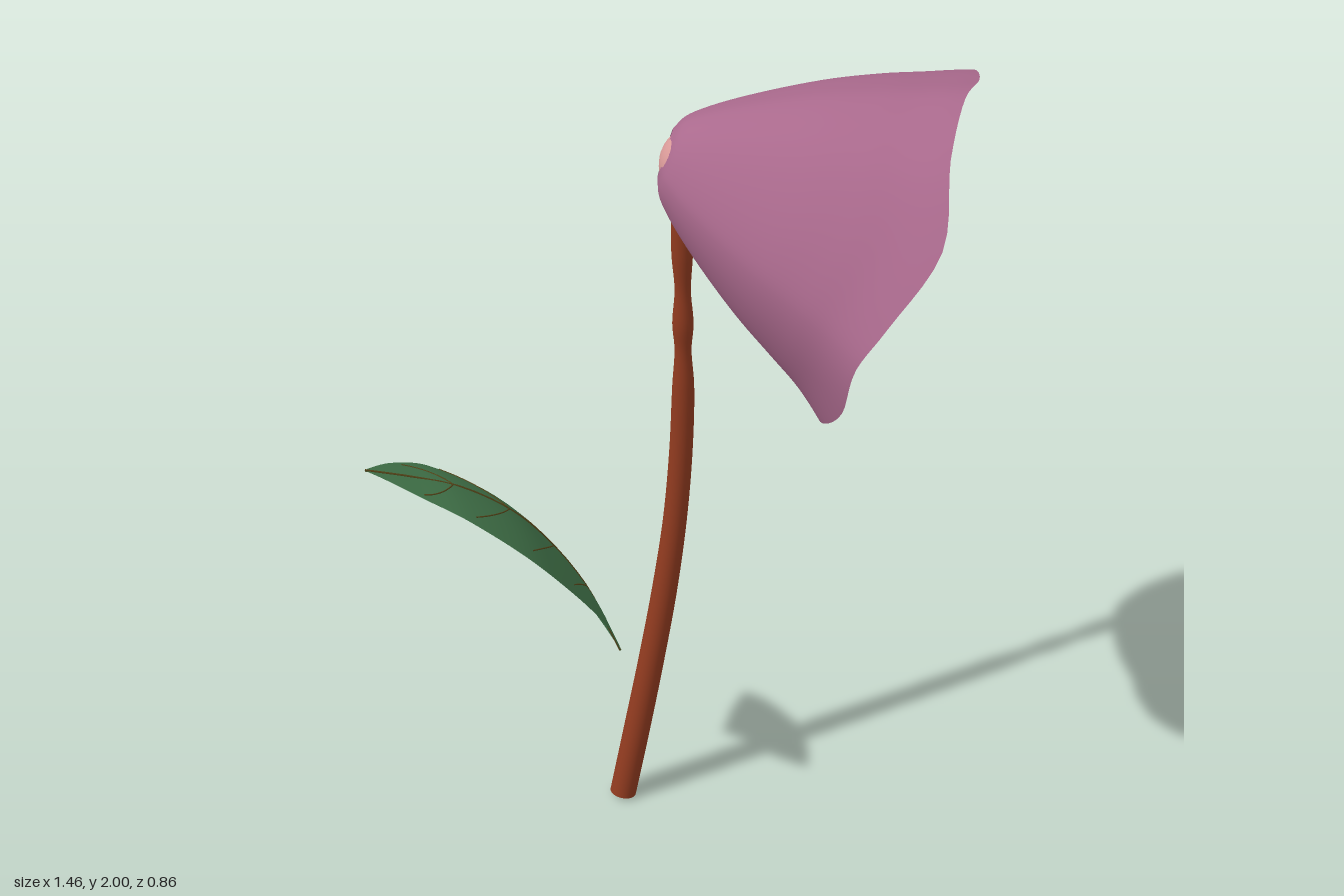
import * as THREE from 'three';

const mat = (name, color, side = THREE.FrontSide) => {
  const m = new THREE.MeshStandardMaterial({ color, side });
  m.name = name;
  return m;
};
const V = (x, y, z = 0) => new THREE.Vector3(x, y, z);
const curve = (pts, closed = false) =>
  new THREE.CatmullRomCurve3(pts.map(p => V(...p)), closed, 'centripetal');

// Smooth surface through rows of points; closed rows wrap around
function loft(rows, closed) {
  const n = rows[0].length, cols = closed ? n : n - 1, index = [];
  for (let i = 0; i < rows.length - 1; i++) {
    for (let j = 0; j < cols; j++) {
      const a = i * n + j, b = i * n + (j + 1) % n, c = a + n, d = b + n;
      index.push(a, b, c, b, d, c);
    }
  }
  const g = new THREE.BufferGeometry().setFromPoints(rows.flat());
  g.setIndex(index);
  g.computeVertexNormals();
  return g;
}

// Stem: each control point is x, y, radius
function stemGeometry() {
  const c = curve([
    [-0.127, 0.008, 0.033], [-0.085, 0.2, 0.033], [-0.043, 0.4, 0.032], [-0.005, 0.6, 0.031],
    [0.025, 0.8, 0.029], [0.043, 1.0, 0.028], [0.05, 1.18, 0.026], [0.05, 1.28, 0.02],
    [0.05, 1.35, 0.025], [0.05, 1.44, 0.019], [0.049, 1.54, 0.025], [0.05, 1.72, 0.025],
  ]);
  const ring = (t, k) => {
    const p = c.getPoint(t), d = c.getTangent(t).setZ(0).normalize();
    return Array.from({ length: 24 }, (_, j) => {
      const a = j / 24 * Math.PI * 2, r = p.z * k, u = Math.cos(a) * r;
      return V(p.x + d.y * u, p.y - d.x * u, -0.23 - Math.sin(a) * r);
    });
  };
  const rows = [ring(0, 0), ring(0, 1)];
  for (let i = 0; i <= 66; i++) rows.push(ring(i / 66, 1));
  rows.push(ring(1, 1), ring(1, 0));
  return loft(rows, true);
}

// Blossom: a blunt cone from a small open ring to a wavy rim
function blossomGeometry() {
  const apex = V(0.022, 1.795, -0.256), axis = V(0.8, -0.29, 0.53).normalize();
  const rim = curve([
    [0.54, 2.0, 0.17], [0.43, 1.935, 0.3], [0.35, 1.79, 0.415], [0.22, 1.63, 0.415],
    [0.165, 1.53, 0.385], [0.17, 1.38, 0.32], [0.21, 1.25, 0.15], [0.33, 1.2, -0.06],
    [0.43, 1.23, -0.16], [0.54, 1.38, -0.265], [0.7, 1.58, -0.3], [0.73, 1.69, -0.28],
    [0.708, 1.82, -0.2], [0.698, 1.89, -0.12], [0.685, 1.95, -0.03], [0.63, 1.985, 0.08],
  ], true);
  // Profile: share of depth, share of radius
  const profile = curve([
    [0, 0.13], [0.03, 0.215], [0.1, 0.305], [0.25, 0.45],
    [0.5, 0.655], [0.7, 0.79], [0.85, 0.885], [1, 1],
  ]);
  const rays = Array.from({ length: 80 }, (_, j) => {
    const d = rim.getPoint(j / 80).sub(apex), depth = d.dot(axis);
    const out = d.addScaledVector(axis, -depth), radius = out.length();
    return { depth, radius, out: out.normalize() };
  });
  const mix = THREE.MathUtils.lerp;
  const rows = profile.getPoints(44).map(p => rays.map(r => {
    const even = 0.3 * (1 - p.x ** 6); // rounder body below the rim
    return apex.clone()
      .addScaledVector(axis, p.x * mix(r.depth, 0.54, even))
      .addScaledVector(r.out, p.y * mix(r.radius, 0.435, even));
  }));
  return loft(rows, true);
}

// Leaf: each control point is x, y, half width along the midrib
const leafSpine = curve([
  [-0.125, 0.455, 0.004], [-0.16, 0.55, 0.07], [-0.2, 0.655, 0.122], [-0.28, 0.8, 0.16],
  [-0.385, 0.935, 0.168], [-0.52, 1.04, 0.135], [-0.63, 1.09, 0.08], [-0.73, 1.13, 0.002],
]);
function leafPoint(u, v) {
  const p = leafSpine.getPoint(u), d = leafSpine.getTangent(u).setZ(0).normalize();
  const w = v * p.z, drop = 1.4 * w * w;
  const z = -0.235 + 0.107 * (p.x + 0.125);
  return V(p.x - d.y * drop, p.y + d.x * drop, z + w);
}
function leafGeometry() {
  const rows = [];
  for (let i = 0; i <= 40; i++) {
    rows.push(Array.from({ length: 17 }, (_, j) => leafPoint(i / 40, j / 8 - 1)));
  }
  return loft(rows, false);
}
function veinGeometry(u0, u1, v1, r) {
  const pts = Array.from({ length: 9 }, (_, i) => {
    const s = i / 8;
    return leafPoint(u0 + (u1 - u0) * s * (0.7 + 0.3 * s), v1 * s);
  });
  return new THREE.TubeGeometry(new THREE.CatmullRomCurve3(pts), 20, r, 6);
}

export function createModel() {
  const petal = mat('mauve petal', 0xa9698c, THREE.DoubleSide);
  const bark = mat('russet stem', 0x8f3a1f);
  const green = mat('leaf green', 0x42744a, THREE.DoubleSide);
  const brown = mat('vein brown', 0x574619);
  const pink = mat('pale pink', 0xd99a98);

  const model = new THREE.Group();
  const add = (parent, name, geometry, material) => {
    const m = new THREE.Mesh(geometry, material);
    m.name = name;
    parent.add(m);
    return m;
  };

  add(model, 'stem', stemGeometry(), bark);
  add(model, 'blossom', blossomGeometry(), petal);

  // Round heart of the blossom, showing through its apex
  add(model, 'blossomHeart', new THREE.SphereGeometry(0.09, 32, 20), pink)
    .position.set(0.075, 1.776, -0.196);

  // Leaf with midrib and paired side veins
  const leaf = new THREE.Group();
  leaf.name = 'leaf';
  model.add(leaf);
  add(leaf, 'leafBlade', leafGeometry(), green);
  add(leaf, 'midrib', veinGeometry(0, 1, 0, 0.003), brown);
  for (const u of [0.3, 0.44, 0.58, 0.72]) {
    for (const side of [-1, 1]) {
      add(leaf, 'sideVein', veinGeometry(u, u + 0.12, side * 0.8, 0.0018), brown);
    }
  }
  return model;
}
